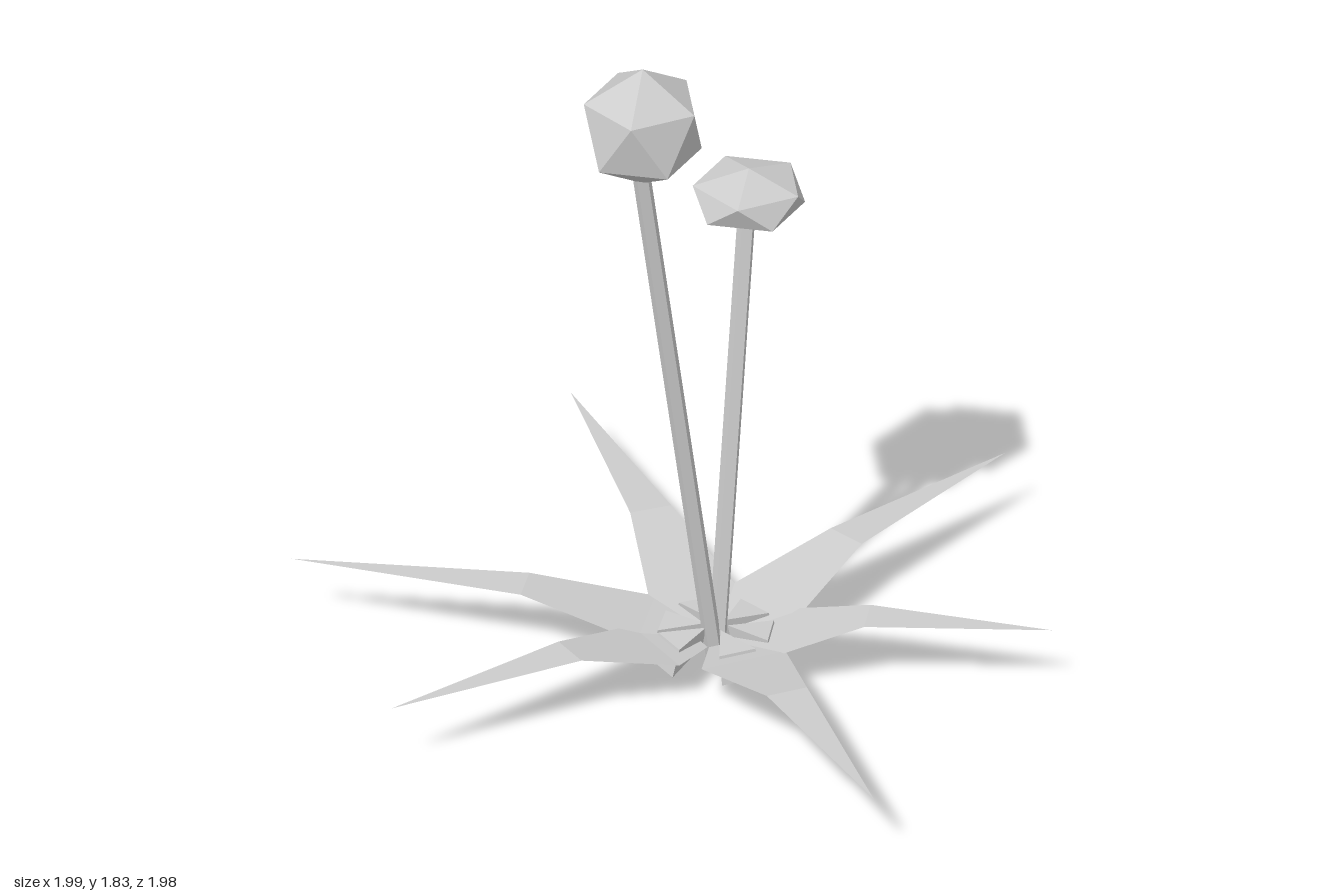
import * as THREE from 'three';

const CX = -0.05, CZ = 0.02; // where everything grows from

// Faces from a short corner list; flat shaded
function polyMesh(name, points, index, material) {
  let g = new THREE.BufferGeometry();
  g.setAttribute('position', new THREE.Float32BufferAttribute(points.flat(), 3));
  g.setIndex(index);
  g = g.toNonIndexed();
  g.computeVertexNormals();
  const m = new THREE.Mesh(g, material);
  m.name = name;
  return m;
}

// Straight thin stem between two points
function stem(name, from, to, radius, material) {
  const a = new THREE.Vector3(...from), b = new THREE.Vector3(...to);
  const d = b.clone().sub(a);
  const m = new THREE.Mesh(new THREE.CylinderGeometry(radius, radius, d.length(), 5).toNonIndexed(), material);
  m.geometry.computeVertexNormals();
  m.name = name;
  m.position.copy(a).add(b).multiplyScalar(0.5);
  m.quaternion.setFromUnitVectors(new THREE.Vector3(0, 1, 0), d.normalize());
  return m;
}

// Icosahedral flower head standing on one corner
function head(name, pos, rx, ry, material) {
  const g = new THREE.IcosahedronGeometry(1, 0);
  g.rotateZ(Math.atan(2 / (1 + Math.sqrt(5))));
  g.rotateY(Math.PI);
  g.scale(rx, ry, rx);
  g.computeVertexNormals();
  const m = new THREE.Mesh(g, material);
  m.name = name;
  m.position.set(...pos);
  return m;
}

export function createModel() {
  const group = new THREE.Group();
  group.name = 'plant';
  const grey = new THREE.MeshStandardMaterial({ color: 0xcccccc, side: THREE.DoubleSide });
  grey.name = 'pale grey';

  // Leaf tips as [x, z]
  const tips = [[0.99, -0.03], [0.38, -0.99], [-0.69, -0.87], [-1, -0.16], [-0.4, 0.99], [0.49, 0.69]];
  tips.forEach(([x, z], i) => {
    const length = Math.hypot(x - CX, z - CZ);
    const pivot = new THREE.Group();
    pivot.name = 'leafGroup' + (i + 1);
    pivot.position.set(CX, 0, CZ);
    pivot.rotation.y = -Math.atan2(z - CZ, x - CX);

    // Leaf blade: rises from the base, then runs level to the tip
    const rows = [[0.05, 0.09, 0.04], [0.18, 0.115, 0.115], [0.45 * length, 0.18, 0.055]];
    const pts = [];
    rows.forEach(([r, y, w]) => pts.push([r, y, w], [r, y, -w]));
    pts.push([length, 0.18, 0]);
    pivot.add(polyMesh('leaf', pts, [0, 2, 1, 1, 2, 3, 2, 4, 3, 3, 4, 5, 4, 6, 5], grey));

    // Faceted root lobe flaring out beneath the leaf
    const lobe = [[0.03, 0.12, 0], [0.14, 0.115, 0.05], [0.14, 0.115, -0.05],
      [0.16, 0.04, 0.05], [0.16, 0.04, -0.05], [0.04, 0.07, 0]];
    pivot.add(polyMesh('rootLobe', lobe,
      [0, 1, 2, 1, 3, 2, 2, 3, 4, 5, 4, 3, 0, 5, 1, 1, 5, 3, 0, 2, 5, 2, 4, 5], grey));
    group.add(pivot);
  });

  // Two stems with their heads
  group.add(stem('tallStem', [CX, 0.005, CZ], [-0.27, 1.55, -0.025], 0.024, grey));
  group.add(head('tallHead', [-0.265, 1.663, -0.02], 0.168, 0.168, grey));
  group.add(stem('shortStem', [CX, 0.005, CZ], [0.15, 1.23, -0.08], 0.024, grey));
  group.add(head('shortHead', [0.155, 1.265, -0.08], 0.16, 0.075, grey));
  return group;
}
